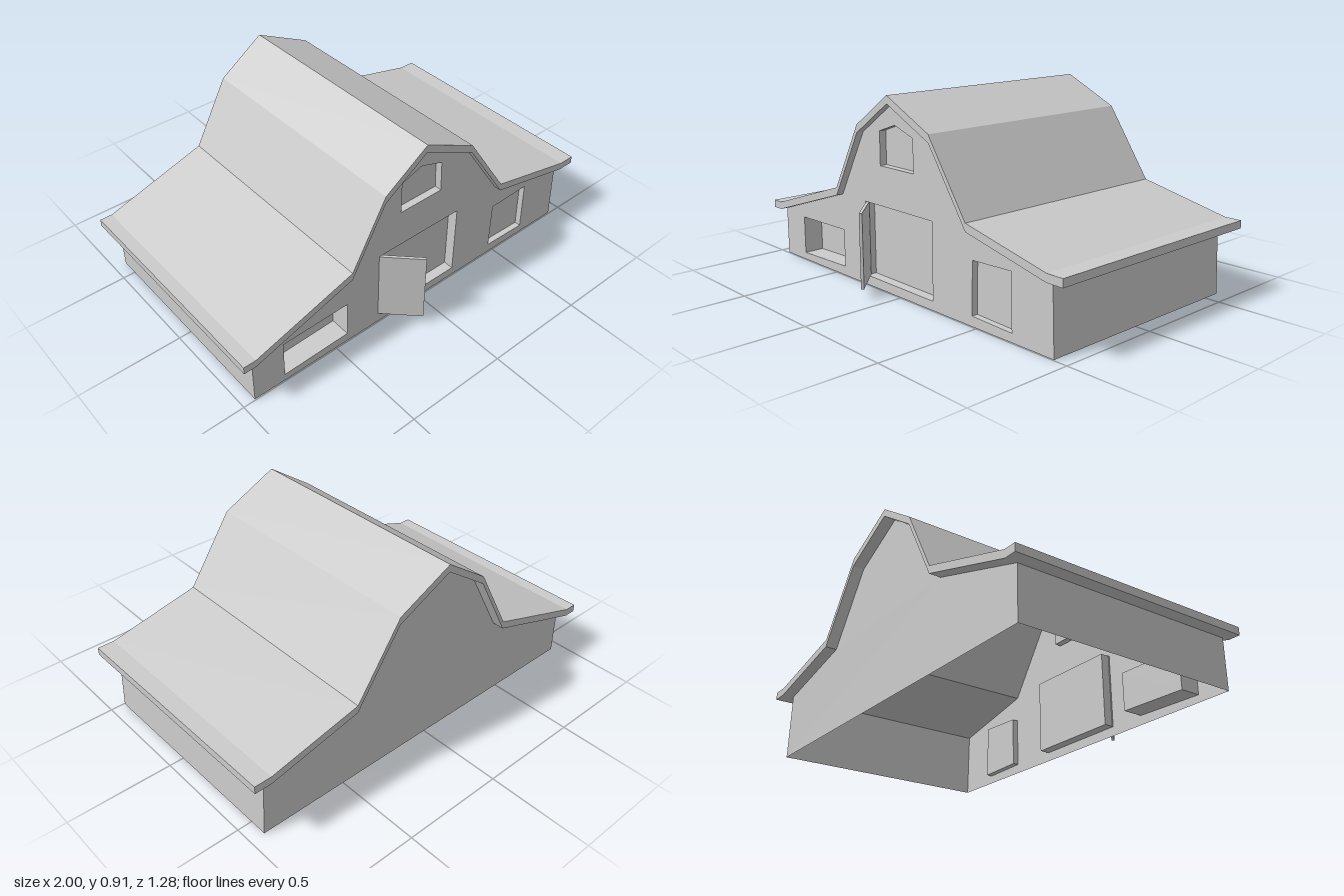
import * as THREE from 'three';

const FRONT = 0.495, BACK = -0.585;
const material = new THREE.MeshStandardMaterial({ color: 0xcccccc, flatShading: true, side: THREE.DoubleSide });

const shapeOf = (pts) => new THREE.Shape(pts.map(([x, y]) => new THREE.Vector2(x, y)));

function add(parent, name, geometry) {
  const mesh = new THREE.Mesh(geometry, material);
  mesh.name = name;
  parent.add(mesh);
  return mesh;
}

// Flat quads running from z0 to z1 along a line of points
function strip(pts, z0, z1) {
  const v = [];
  for (let i = 0; i < pts.length - 1; i++) {
    const [a, b] = [pts[i], pts[i + 1]];
    v.push(...a, z0, ...b, z0, ...b, z1, ...a, z0, ...b, z1, ...a, z1);
  }
  const g = new THREE.BufferGeometry();
  g.setAttribute('position', new THREE.Float32BufferAttribute(v, 3));
  g.computeVertexNormals();
  return g;
}

export function createModel() {
  const barn = new THREE.Group();
  barn.name = 'barn';

  // Underside of the roof, from the left eave of the front elevation to the right
  const eaves = [
    [-1, 0.238], [-0.94, 0.238], [-0.433, 0.402], [-0.257, 0.722], [-0.033, 0.876],
    [0.243, 0.743], [0.469, 0.412], [0.918, 0.312], [1, 0.312],
  ];

  // Roof slab of constant vertical thickness
  const top = eaves.map(([x, y]) => [x, y + 0.037]).reverse();
  const roof = new THREE.ExtrudeGeometry(shapeOf([...eaves, ...top]), { depth: 1.17, bevelEnabled: false });
  add(barn, 'roof', roof.translate(0, 0, -0.64));

  // Recessed openings, listed counter-clockwise
  const openings = [
    { name: 'wideWindow', depth: 0.1, pts: [[-0.78, 0.035], [-0.434, 0.045], [-0.434, 0.227], [-0.78, 0.221]] },
    { name: 'doorway', depth: 0.05, pts: [[-0.253, 0.045], [0.22, 0.043], [0.22, 0.4], [-0.253, 0.4]] },
    { name: 'sideWindow', depth: 0.03, pts: [[0.47, 0.046], [0.703, 0.04], [0.696, 0.295], [0.473, 0.287]] },
    { name: 'loftWindow', depth: 0.035, pts: [[-0.134, 0.585], [0.102, 0.585], [0.095, 0.74], [-0.025, 0.78], [-0.134, 0.742]] },
  ];

  // Gable walls follow the roof underside; the building is open below
  const gable = [[-0.94, 0], [0.93, 0], ...eaves.slice(1, -1).reverse()];
  const frontShape = shapeOf(gable);
  frontShape.holes = openings.map((o) => shapeOf(o.pts));
  add(barn, 'frontWall', new THREE.ShapeGeometry(frontShape).translate(0, 0, FRONT));
  const mirrored = gable.map(([x, y]) => [-x, y]).reverse();
  add(barn, 'backWall', new THREE.ShapeGeometry(shapeOf(mirrored)).rotateY(Math.PI).translate(0, 0, BACK));

  // Side walls
  add(barn, 'leftWall', strip([gable[1], gable[2]], BACK, FRONT));
  add(barn, 'rightWall', strip([gable[gable.length - 1], gable[0]], BACK, FRONT));

  // Reveals and closed back panels of the openings
  for (const { name, depth, pts } of openings) {
    const niche = new THREE.Group();
    niche.name = name;
    add(niche, name + 'Reveal', strip([...pts, pts[0]], FRONT, FRONT - depth));
    add(niche, name + 'Panel', new THREE.ShapeGeometry(shapeOf(pts)).translate(0, 0, FRONT - depth));
    barn.add(niche);
  }

  // Door leaf standing open at 45 degrees from its hinge
  const leaf = add(barn, 'doorLeaf', new THREE.BoxGeometry(0.21, 0.35, 0.014).translate(0.105, 0, 0));
  leaf.position.set(-0.25, 0.222, 0.485);
  leaf.rotation.y = -Math.PI / 4;

  return barn;
}
